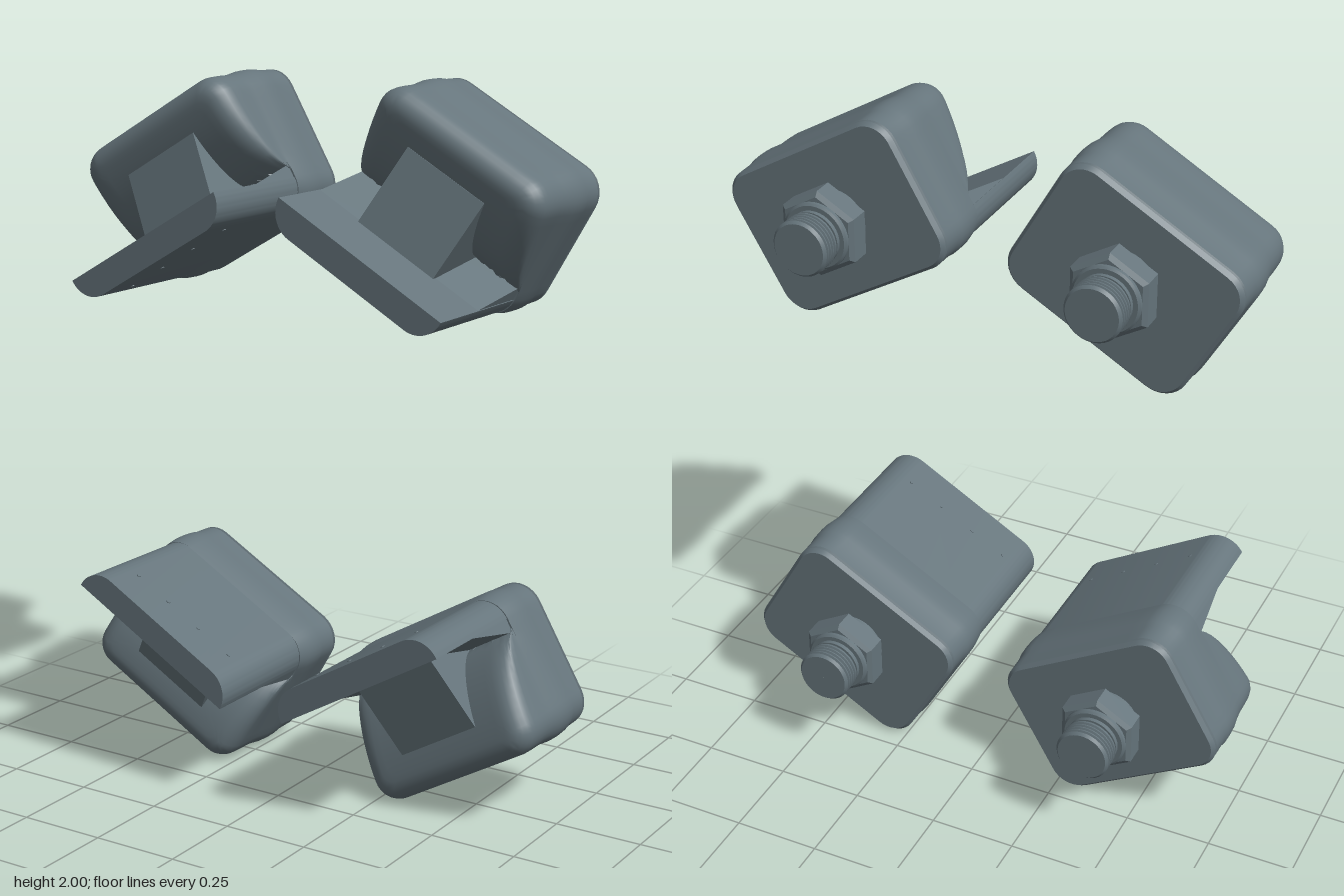
import * as THREE from 'three';
import { toCreasedNormals } from 'three/addons/utils/BufferGeometryUtils.js';

const material = new THREE.MeshStandardMaterial({ color: 0x66757c });
const HALF_W = 0.288, HALF_H = 0.22, FRONT = 0.155;

// Rounded rectangle loop, counter-clockwise, with subdivided straight sides
function roundedLoop(inset) {
  const a = HALF_W - inset, b = HALF_H - inset, r = Math.max(0.085 - inset, 0.035);
  const pts = [], arc = 8, side = 10;
  const corners = [[a - r, b - r], [r - a, b - r], [r - a, r - b], [a - r, r - b]];
  corners.forEach(([cx, cy], k) => {
    for (let i = 0; i <= arc; i++) {
      const t = (k + i / arc) * Math.PI / 2;
      pts.push([cx + r * Math.cos(t), cy + r * Math.sin(t)]);
    }
    const [nx, ny] = corners[(k + 1) % 4], t = (k + 1) * Math.PI / 2;
    for (let i = 1; i < side; i++) {
      const f = i / side;
      pts.push([cx + (nx - cx) * f + r * Math.cos(t), cy + (ny - cy) * f + r * Math.sin(t)]);
    }
  });
  return pts;
}

// Front of the housing curves back towards the mounting plate
function frontScale(v) {
  const t = THREE.MathUtils.clamp((0.18 - v) / 0.28, 0, 1);
  return Math.pow(1 - Math.pow(t, 1.7), 0.588);
}

function housingGeometry() {
  // [z, inset, scale towards the centre]
  const rings = [[-0.2, 0.016, 0.001], [-0.2, 0.016, 1], [-0.188, 0.006, 1], [-0.184, 0.013, 1],
    [-0.178, 0.006, 1], [-0.12, 0.005, 1], [-0.1, 0.001, 1], [-0.07, 0, 1], [-0.04, 0.001, 1],
    [0, 0.007, 1], [0.03, 0.009, 1], [0.06, 0.009, 1]];
  for (let i = 0; i <= 6; i++) {
    const t = i / 6 * Math.PI / 2;
    rings.push([0.095 + 0.06 * Math.sin(t), 0.01 + 0.06 * (1 - Math.cos(t)), 1]);
  }
  for (let i = 9; i >= 0; i--) rings.push([FRONT, 0.07, Math.max(i / 10, 0.001)]);

  const pos = [], index = [];
  let n = 0;
  rings.forEach(([z, inset, s]) => {
    const loop = roundedLoop(inset);
    n = loop.length;
    for (const [u, v] of loop) pos.push(u * s, v * s, z > 0 ? z * frontScale(v * s) : z);
  });
  for (let i = 0; i < rings.length - 1; i++) {
    for (let j = 0; j < n; j++) {
      const k = (j + 1) % n, a = i * n, b = a + n;
      index.push(a + j, a + k, b + k, a + j, b + k, b + j);
    }
  }
  const g = new THREE.BufferGeometry();
  g.setAttribute('position', new THREE.Float32BufferAttribute(pos, 3));
  g.setIndex(index);
  return toCreasedNormals(g, 0.6);
}

// Prism with a [z, y] side profile, centred across x
function sidePrism(profile, width) {
  const shape = new THREE.Shape(profile.map(([z, y]) => new THREE.Vector2(z, y)));
  const g = new THREE.ExtrudeGeometry(shape, { depth: width, bevelEnabled: false });
  return g.rotateY(-Math.PI / 2).translate(width / 2, 0, 0);
}

// Flat plate with rounded lower corners
function plateGeometry() {
  const r = 0.078, c = 0.2, top = -0.135;
  const s = new THREE.Shape();
  s.moveTo(c + r, top);
  s.lineTo(-c - r, top);
  s.absarc(-c, top, r, Math.PI, Math.PI * 1.5, false);
  s.lineTo(c, top - r);
  s.absarc(c, top, r, Math.PI * 1.5, Math.PI * 2, false);
  const g = new THREE.ExtrudeGeometry(s, { depth: 0.435, bevelEnabled: false, curveSegments: 10 });
  return toCreasedNormals(g.translate(0, 0, -0.05), 0.6);
}

// Turned part pointing backwards; profile is [radius, distance behind centre]
function turned(profile, segments, phi = 0, crease = 0.5) {
  const pts = profile.map(([r, d]) => new THREE.Vector2(r, d));
  const g = new THREE.LatheGeometry(pts, segments, phi).rotateX(-Math.PI / 2);
  return toCreasedNormals(g, crease);
}

function threadProfile() {
  const p = [[0.066, 0.3], [0.066, 0.325], [0.078, 0.33]];
  for (let i = 0; i < 4; i++) {
    const d = 0.334 + i * 0.012;
    p.push([0.079, d], [0.079, d + 0.003], [0.071, d + 0.006], [0.071, d + 0.008]);
  }
  p.push([0.079, 0.382], [0.072, 0.39], [0.001, 0.39]);
  return p;
}

const parts = {
  housing: housingGeometry(),
  mountingPlate: plateGeometry(),
  plateRamp: sidePrism([[0.2, -0.137], [0, -0.095], [-0.03, -0.137]], 0.552),
  gusset: sidePrism([[0.205, -0.14], [0.143, 0.09], [-0.03, 0.09], [-0.03, -0.14]], 0.262),
  washer: turned([[0.092, 0.19], [0.092, 0.222], [0.06, 0.222]], 40),
  hexNut: turned([[0.08, 0.215], [0.108, 0.216], [0.122, 0.226], [0.122, 0.284],
    [0.108, 0.294], [0.06, 0.295]], 6, Math.PI / 2, 0.1),
  collar: turned([[0.094, 0.285], [0.094, 0.303], [0.088, 0.308], [0.075, 0.308],
    [0.075, 0.32], [0.05, 0.32]], 40),
  threadedEnd: turned(threadProfile(), 40),
};
const rivet = new THREE.CylinderGeometry(0.006, 0.006, 0.006, 10);

function sensorUnit() {
  const unit = new THREE.Group();
  for (const [name, geometry] of Object.entries(parts)) {
    const mesh = new THREE.Mesh(geometry, material);
    mesh.name = name;
    unit.add(mesh);
  }
  // Rivets on the outer face of the plate
  for (const x of [-0.18, -0.06, 0.06, 0.18]) {
    const mesh = new THREE.Mesh(rivet, material);
    mesh.name = 'rivet';
    mesh.position.set(x, -0.212, 0.275);
    unit.add(mesh);
  }
  return unit;
}

export function createModel() {
  const model = new THREE.Group();
  model.name = 'sensorSet';
  // Four units with their plates turned towards the middle
  for (const side of [1, -1]) {
    for (const [row, y, degrees] of [['upper', 1.695, 30], ['lower', 0.305, 150]]) {
      const unit = sensorUnit();
      unit.name = row + (side > 0 ? 'Left' : 'Right') + 'Unit';
      unit.position.set(side * 0.411, y, 0);
      unit.rotation.z = -side * THREE.MathUtils.degToRad(degrees);
      model.add(unit);
    }
  }
  return model;
}
